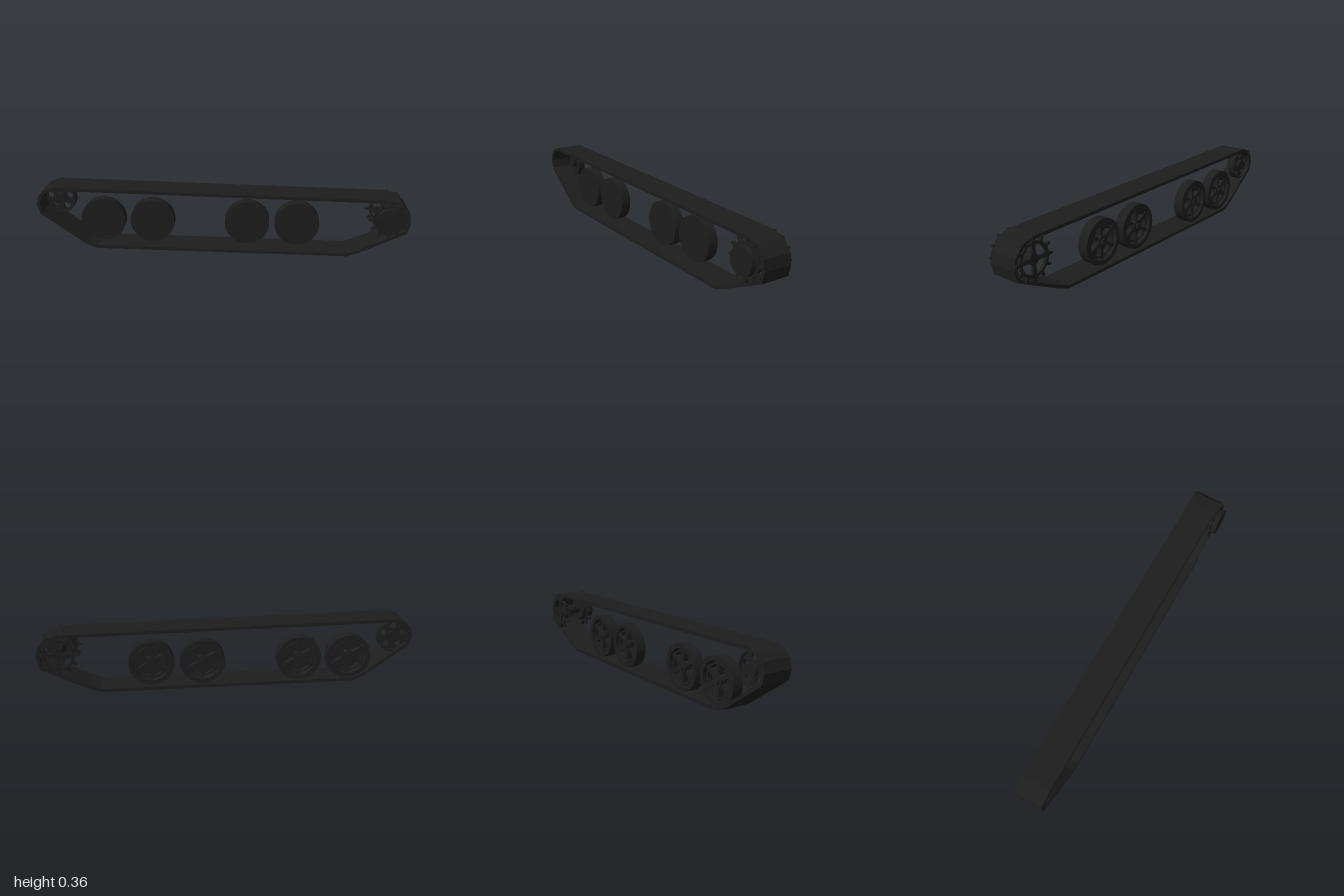
import * as THREE from 'three';

const black = new THREE.MeshStandardMaterial({ color: 0x1d1d1d });
black.name = 'matte black';

// Extrude a shape between two z planes
function slab(shape, z0, z1, name, curveSegments = 16) {
  const g = new THREE.ExtrudeGeometry(shape, { depth: z1 - z0, bevelEnabled: false, curveSegments });
  g.translate(0, 0, z0);
  const m = new THREE.Mesh(g, black);
  m.name = name;
  return m;
}

// Cylinder along z between two planes
function drum(r, z0, z1, name) {
  const g = new THREE.CylinderGeometry(r, r, z1 - z0, 40);
  g.rotateX(Math.PI / 2);
  g.translate(0, 0, (z0 + z1) / 2);
  const m = new THREE.Mesh(g, black);
  m.name = name;
  return m;
}

function circle(r, x = 0, y = 0) {
  return new THREE.Shape().absarc(x, y, r, 0, Math.PI * 2, false);
}

function ring(outer, inner) {
  const s = circle(outer);
  s.holes.push(circle(inner));
  return s;
}

// Inward mitred offset of a counter-clockwise outline
function inset(pts, d) {
  return pts.map((p, i) => {
    const a = pts[(i + pts.length - 1) % pts.length], b = pts[(i + 1) % pts.length];
    const u = p.clone().sub(a).normalize(), v = b.clone().sub(p).normalize();
    const n = new THREE.Vector2(-u.y - v.y, u.x + v.x).normalize();
    return p.clone().addScaledVector(n, d / (n.y * u.x - n.x * u.y));
  });
}

function makeBelt() {
  const pts = [
    [-0.685, 0.012], [0.68, 0], [0.75, 0.027], [0.988, 0.142], [1, 0.2], [0.992, 0.255],
    [0.945, 0.315], [0.87, 0.33], [-0.9, 0.362], [-0.955, 0.345], [-0.985, 0.315],
    [-1, 0.265], [-0.985, 0.21], [-0.74, 0.032],
  ].map(p => new THREE.Vector2(...p));
  const shape = new THREE.Shape(pts);
  shape.holes.push(new THREE.Path(inset(pts, 0.017)));
  return slab(shape, -0.094, 0.064, 'trackBelt');
}

// Road wheel: closed front disc, open spoked back
function makeRoadWheel() {
  const g = new THREE.Group();
  g.name = 'roadWheel';
  g.add(drum(0.122, -0.034, -0.018, 'wheelDisc'));
  g.add(slab(ring(0.122, 0.098), -0.074, -0.034, 'wheelRim', 24));
  g.add(slab(ring(0.088, 0.078), -0.06, -0.034, 'innerRing', 24));
  g.add(drum(0.032, -0.07, -0.034, 'wheelHub'), drum(0.018, -0.08, -0.07, 'hubCap'));
  for (let i = 0; i < 6; i++) {
    const spoke = new THREE.Mesh(new THREE.BoxGeometry(0.075, 0.018, 0.03), black);
    const a = i * Math.PI / 3 + Math.PI / 6;
    spoke.position.set(Math.cos(a) * 0.062, Math.sin(a) * 0.062, -0.048);
    spoke.rotation.z = a;
    spoke.name = 'wheelSpoke';
    g.add(spoke);
  }
  return g;
}

// Idler: thin disc with five through holes, a rim and a raised hub
function makeIdler() {
  const g = new THREE.Group();
  g.name = 'idlerWheel';
  const disc = circle(0.086);
  for (let i = 0; i < 5; i++) {
    const a = Math.PI / 2 + i * Math.PI * 0.4;
    disc.holes.push(circle(0.017, Math.cos(a) * 0.056, Math.sin(a) * 0.056));
  }
  g.add(slab(disc, -0.066, -0.054, 'idlerDisc', 20));
  g.add(slab(ring(0.087, 0.077), -0.078, -0.04, 'idlerRim', 20));
  g.add(drum(0.032, -0.082, -0.03, 'idlerHub'));
  return g;
}

// Outline with narrow, tapering teeth
function gearShape() {
  const n = 12, pts = [];
  for (let i = 0; i < n; i++) {
    for (const [f, r] of [[-0.5, 0.086], [-0.2, 0.086], [-0.08, 0.11], [0.08, 0.11], [0.2, 0.086]]) {
      const a = (i + f) / n * Math.PI * 2;
      pts.push(new THREE.Vector2(Math.cos(a) * r, Math.sin(a) * r));
    }
  }
  return new THREE.Shape(pts);
}

function makeSprocket() {
  const g = new THREE.Group();
  g.name = 'driveSprocket';
  g.add(slab(gearShape(), 0.057, 0.073, 'frontToothedDisc'));
  g.add(drum(0.071, 0.03, 0.1, 'driveHub'));
  // Open rear ring carried by a cross
  const rear = gearShape();
  rear.holes.push(circle(0.072));
  g.add(slab(rear, -0.1, -0.084, 'rearToothedRing'));
  for (let i = 0; i < 2; i++) {
    const bar = new THREE.Mesh(new THREE.BoxGeometry(0.15, 0.02, 0.012), black);
    bar.position.z = -0.092;
    bar.rotation.z = i * Math.PI / 2;
    bar.name = 'ringSpoke';
    g.add(bar);
  }
  g.add(drum(0.028, -0.096, 0.03, 'sprocketAxle'));
  return g;
}

export function createModel() {
  const model = new THREE.Group();
  model.name = 'trackAssembly';
  model.add(makeBelt());
  for (const x of [-0.663, -0.389, 0.134, 0.407]) {
    const w = makeRoadWheel();
    w.position.set(x, 0.146, 0);
    model.add(w);
  }
  const idler = makeIdler();
  idler.position.set(-0.902, 0.259, 0);
  const sprocket = makeSprocket();
  sprocket.position.set(0.888, 0.221, 0);
  model.add(idler, sprocket);
  return model;
}
